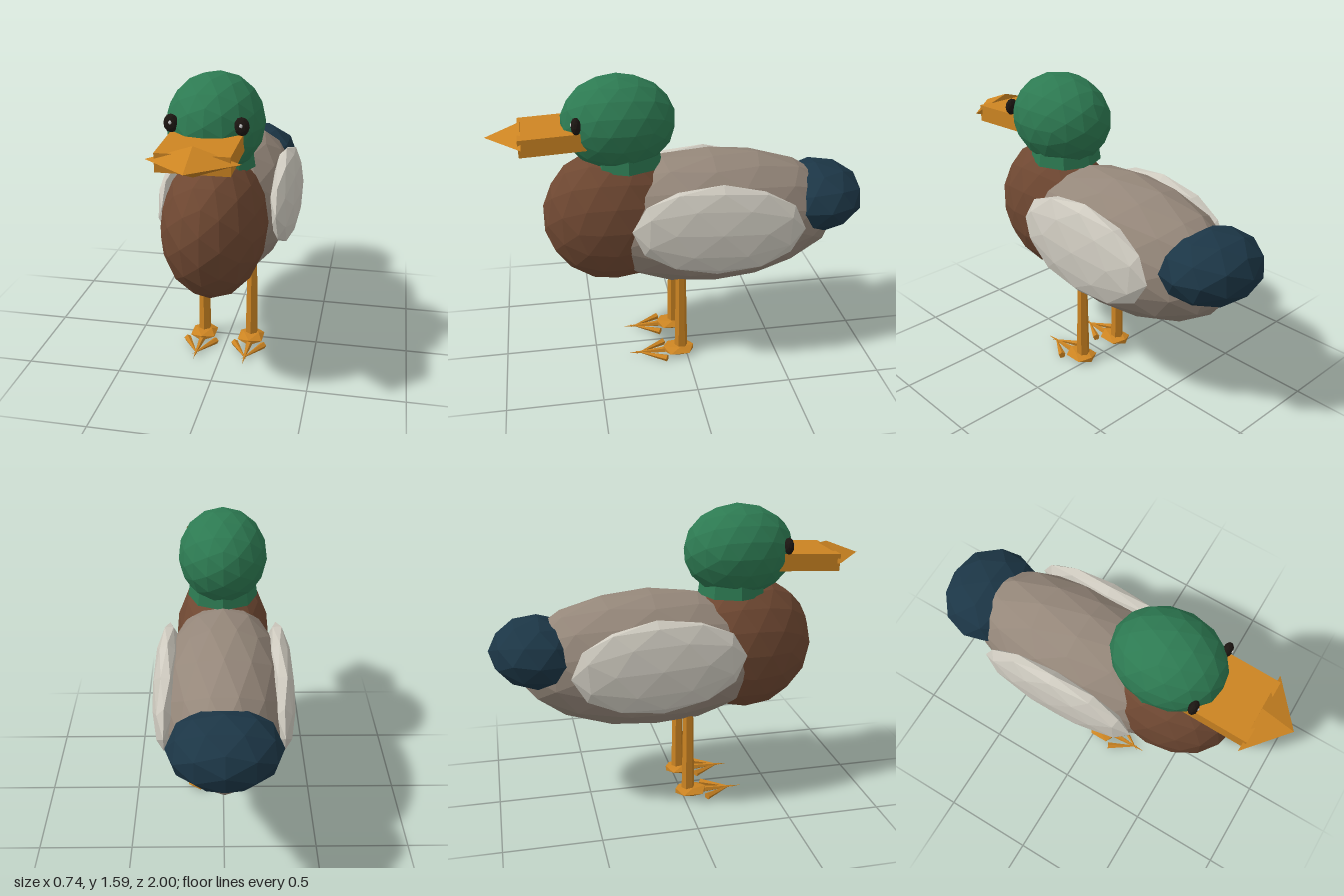
import * as THREE from 'three';

const mat = (color) => new THREE.MeshStandardMaterial({ color, flatShading: true });

export function createModel() {
  const duck = new THREE.Group();
  duck.name = 'duck';
  const green = mat(0x2d7a52), brown = mat(0x6f4832), taupe = mat(0x95877a), pale = mat(0xcfcbc0);
  const navy = mat(0x1c3646), orange = mat(0xcc8422), black = mat(0x1c1612), white = mat(0xffffff);

  const add = (name, geometry, material, pos, parent = duck) => {
    const mesh = new THREE.Mesh(geometry, material);
    mesh.name = name;
    mesh.position.set(...pos);
    parent.add(mesh);
    return mesh;
  };
  // Faceted ellipsoid
  const blob = (name, material, pos, radii, detail = 2, parent = duck) => {
    const geo = new THREE.IcosahedronGeometry(1, detail).scale(...radii);
    return add(name, geo, material, pos, parent);
  };
  // Cone from the centre of its base to its tip
  const spike = (name, base, tip, radius, parent) => {
    const a = new THREE.Vector3(...base), dir = new THREE.Vector3(...tip).sub(a);
    const length = dir.length();
    const geo = new THREE.ConeGeometry(radius, length, 5).translate(0, length / 2, 0);
    const mesh = add(name, geo, orange, base, parent);
    mesh.quaternion.setFromUnitVectors(new THREE.Vector3(0, 1, 0), dir.normalize());
    return mesh;
  };

  // Body, chest and tail
  blob('body', taupe, [0, 0.795, -0.15], [0.33, 0.372, 0.72]);
  blob('chest', brown, [0, 0.84, 0.375], [0.265, 0.372, 0.37]);
  blob('tail', navy, [0, 0.87, -0.75], [0.28, 0.185, 0.25], 1).rotation.x = 0.08;

  // Head on a short neck
  blob('head', green, [0, 1.355, 0.33], [0.24, 0.245, 0.296]);
  add('neck', new THREE.CylinderGeometry(0.17, 0.19, 0.14, 8), green, [0, 1.2, 0.3]);

  // Flat bill with a four-sided pointed tip
  add('bill', new THREE.BoxGeometry(0.34, 0.09, 0.33), orange, [0, 1.308, 0.67]).rotation.x = 0.05;
  const tip = new THREE.ConeGeometry(1, 0.18, 4).rotateX(Math.PI / 2).scale(0.215, 0.071, 1);
  add('billTip', tip, orange, [0, 1.309, 0.91]);

  for (const s of [1, -1]) {
    const side = s > 0 ? 'left' : 'right';

    const wing = blob(side + 'Wing', pale, [s * 0.295, 0.84, -0.15], [0.075, 0.25, 0.455], 1);
    wing.rotation.set(-0.06, 0, s * 0.04);

    blob(side + 'Eye', black, [s * 0.165, 1.4, 0.55], [0.037, 0.045, 0.025], 1);
    blob(side + 'EyeGlint', white, [s * 0.165, 1.408, 0.572], [0.008, 0.01, 0.006], 1);

    // Leg, foot and three toes
    const leg = new THREE.Group();
    leg.name = side + 'Leg';
    leg.position.x = s * 0.135;
    duck.add(leg);
    add('shank', new THREE.CylinderGeometry(0.027, 0.036, 0.5, 6), orange, [0, 0.29, 0.03], leg);
    blob('foot', orange, [0, 0.033, 0.045], [0.08, 0.027, 0.1], 0, leg);
    spike('middleToe', [0, 0.024, 0.12], [0, 0.024, 0.335], 0.018, leg);
    for (const t of [1, -1]) {
      spike('sideToe', [t * 0.082, 0.024, 0.12], [t * -0.015, 0.024, 0.29], 0.02, leg);
    }
  }
  return duck;
}
